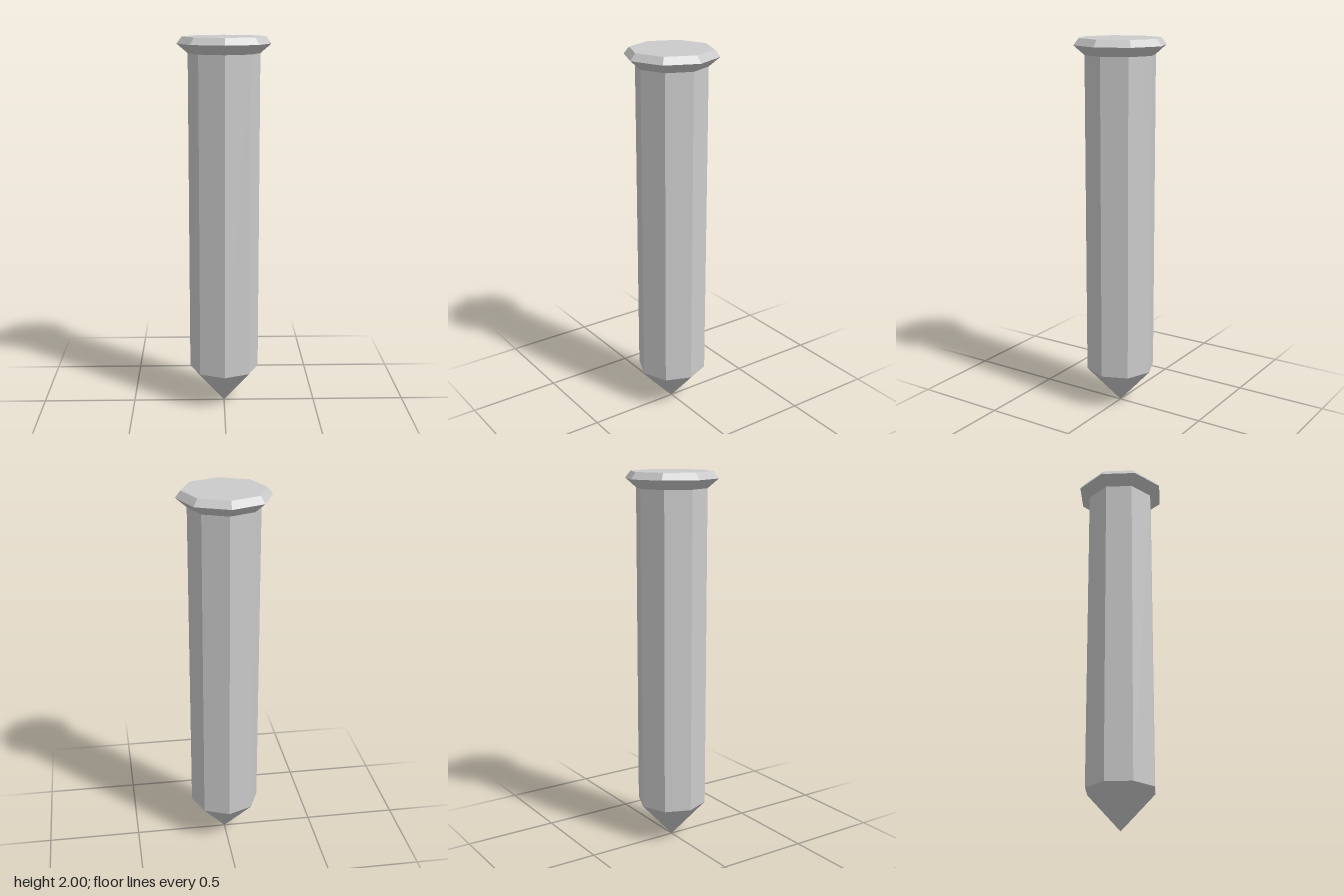
import * as THREE from 'three';

const SIDES = 8;
const SHAFT_RADIUS = 0.187;
const RIM_RADIUS = 0.244;
const TOP_RADIUS = 0.216;
const TIP_HEIGHT = 0.205;
const HEAD_BASE = 1.915;
const HEAD_RIM = 1.964;

export function createModel() {
  const model = new THREE.Group();
  model.name = 'spike';
  const material = new THREE.MeshStandardMaterial({ color: 0xcccccc, flatShading: true });

  // Open octagonal ring between two heights
  function addRing(name, parent, y0, r0, y1, r1) {
    const geometry = new THREE.CylinderGeometry(r1, r0, y1 - y0, SIDES, 1, true);
    const mesh = new THREE.Mesh(geometry, material);
    mesh.name = name;
    mesh.position.y = (y0 + y1) / 2;
    parent.add(mesh);
  }

  // Pointed end and straight shaft
  addRing('tip', model, 0, 0, TIP_HEIGHT, SHAFT_RADIUS);
  addRing('shaft', model, TIP_HEIGHT, SHAFT_RADIUS, HEAD_BASE, SHAFT_RADIUS);

  // Flared head with a bevelled flat top
  const head = new THREE.Group();
  head.name = 'head';
  addRing('headUnderside', head, HEAD_BASE, SHAFT_RADIUS, HEAD_RIM, RIM_RADIUS);
  addRing('headBevel', head, HEAD_RIM, RIM_RADIUS, 2, TOP_RADIUS);
  const cap = new THREE.Mesh(new THREE.CircleGeometry(TOP_RADIUS, SIDES), material);
  cap.name = 'headTop';
  cap.rotation.x = -Math.PI / 2;
  cap.position.y = 2;
  head.add(cap);
  model.add(head);

  return model;
}
